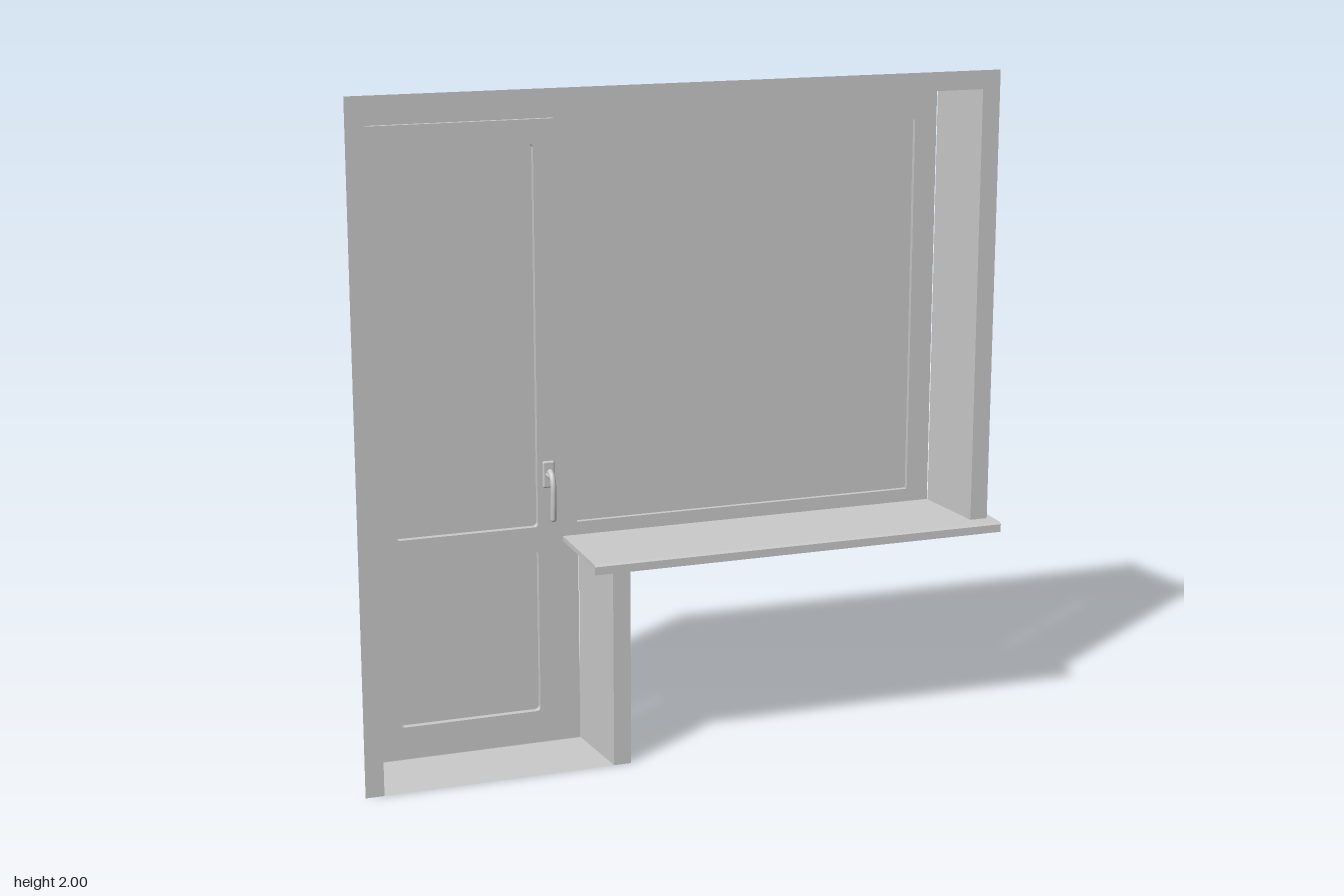
import * as THREE from 'three';
import { RoundedBoxGeometry } from 'three/addons/geometries/RoundedBoxGeometry.js';

const solid = new THREE.MeshStandardMaterial({ color: 0xcccccc });
const sheet = new THREE.MeshStandardMaterial({ color: 0xcccccc, side: THREE.DoubleSide });

function add(parent, name, geometry, material = solid) {
  const mesh = new THREE.Mesh(geometry, material);
  mesh.name = name;
  parent.add(mesh);
  return mesh;
}

function box(parent, name, [x0, x1], [y0, y1], [z0, z1]) {
  const g = new THREE.BoxGeometry(x1 - x0, y1 - y0, z1 - z0);
  g.translate((x0 + x1) / 2, (y0 + y1) / 2, (z0 + z1) / 2);
  return add(parent, name, g);
}

const polygon = (pts) => new THREE.Shape(pts.map(([x, y]) => new THREE.Vector2(x, y)));

// Rectangle with slightly rounded corners
function rect([x0, x1], [y0, y1], r = 0) {
  if (!r) return polygon([[x0, y0], [x1, y0], [x1, y1], [x0, y1]]);
  const s = new THREE.Shape();
  s.absarc(x1 - r, y0 + r, r, -Math.PI / 2, 0);
  s.absarc(x1 - r, y1 - r, r, 0, Math.PI / 2);
  s.absarc(x0 + r, y1 - r, r, Math.PI / 2, Math.PI);
  s.absarc(x0 + r, y0 + r, r, Math.PI, Math.PI * 1.5);
  s.closePath();
  return s;
}

function plate(parent, name, shape, holes, z0, z1) {
  shape.holes.push(...holes);
  const g = new THREE.ExtrudeGeometry(shape, { depth: z1 - z0, bevelEnabled: false, curveSegments: 4 });
  g.translate(0, 0, z0);
  return add(parent, name, g);
}

// Flat-faced strip joining two polylines point by point
function strip(parent, name, a, b) {
  const pos = [];
  for (let i = 0; i < a.length - 1; i++) {
    pos.push(...a[i], ...b[i], ...b[i + 1], ...a[i], ...b[i + 1], ...a[i + 1]);
  }
  const g = new THREE.BufferGeometry();
  g.setAttribute('position', new THREE.Float32BufferAttribute(pos, 3));
  g.computeVertexNormals();
  return add(parent, name, g, sheet);
}

export function createModel() {
  const root = new THREE.Group();
  root.name = 'balconyDoorAndWindow';
  const zFront = 0.13, zReveal = -0.12, zBack = -0.185;
  const atZ = (pts, z) => pts.map(([x, y]) => [x, y, z]);

  // Thin trim around the opening
  const trim = new THREE.Group();
  trim.name = 'trim';
  root.add(trim);
  const trimOutline = [[-0.985, 0], [-0.93, 0], [-0.93, 1.945], [0.905, 1.945],
    [0.905, 0.63], [0.96, 0.63], [0.96, 2], [-0.985, 2]];
  for (const s of [polygon(trimOutline), rect([-0.238, -0.185], [0, 0.625])]) {
    add(trim, 'trimFace', new THREE.ShapeGeometry(s), sheet).position.z = zFront;
  }

  // Splayed reveals and threshold floor
  const reveals = new THREE.Group();
  reveals.name = 'reveals';
  root.add(reveals);
  strip(reveals, 'outerReveal',
    atZ([[-0.93, 0], [-0.93, 1.945], [0.905, 1.945], [0.905, 0.63]], zFront),
    atZ([[-0.905, 0], [-0.905, 1.92], [0.88, 1.92], [0.88, 0.63]], zReveal));
  strip(reveals, 'doorReveal',
    atZ([[-0.238, 0], [-0.238, 0.625]], zFront),
    atZ([[-0.262, 0], [-0.262, 0.625]], zReveal));
  strip(reveals, 'thresholdFloor',
    atZ([[-0.93, 0], [-0.238, 0]], zFront),
    atZ([[-0.905, 0], [-0.262, 0]], zReveal));

  // Fixed frame around door and window
  const frameOutline = [[-0.905, 0], [-0.262, 0], [-0.262, 0.625], [0.88, 0.625], [0.88, 1.92], [-0.905, 1.92]];
  const windowX = [-0.265, 0.81], windowY = [0.68, 1.83];
  plate(root, 'frame', polygon(frameOutline),
    [rect([-0.866, -0.345], [0.06, 1.865]), rect(windowX, windowY)], zBack, -0.125);
  box(root, 'windowPane', windowX, windowY, [-0.17, -0.14]);

  // Door leaf: body inside the frame, overlapping lip in front
  const door = new THREE.Group();
  door.name = 'door';
  root.add(door);
  const paneX = [-0.82, -0.39];
  const paneYs = [[0.105, 0.61], [0.68, 1.815]];
  const paneHoles = () => paneYs.map((y) => rect(paneX, y, 0.012));
  plate(door, 'leafBody', rect([-0.866, -0.345], [0.06, 1.865]), paneHoles(), -0.172, -0.125);
  plate(door, 'leafLip', rect([-0.885, -0.322], [0.04, 1.885], 0.006), paneHoles(), -0.125, -0.11);
  paneYs.forEach((y, i) => box(door, i ? 'upperPane' : 'lowerPanel', paneX, y, [-0.158, -0.13]));
  box(door, 'railBar', [-0.866, -0.345], [0.632, 0.658], [-0.18, -0.17]);

  // Hinges
  for (const y of [0.055, 1.865]) {
    const hinge = add(door, 'hinge', new THREE.CylinderGeometry(0.006, 0.006, 0.025, 12));
    hinge.position.set(-0.89, y, -0.115);
  }

  // Handle
  const handle = new THREE.Group();
  handle.name = 'handle';
  handle.position.set(-0.358, 0.84, -0.11);
  door.add(handle);
  add(handle, 'handlePlate', new RoundedBoxGeometry(0.036, 0.08, 0.014, 2, 0.005)).position.z = 0.005;
  const neck = add(handle, 'handleNeck', new THREE.CylinderGeometry(0.011, 0.011, 0.03, 16));
  neck.rotation.x = Math.PI / 2;
  neck.position.z = 0.025;
  const path = new THREE.CatmullRomCurve3([[0.012, 0.02], [0.005, 0.04], [-0.02, 0.052], [-0.07, 0.054], [-0.125, 0.05]]
    .map(([y, z]) => new THREE.Vector3(0, y, z)));
  add(handle, 'handleLever', new THREE.TubeGeometry(path, 20, 0.009, 12));
  const tip = add(handle, 'handleTip', new THREE.SphereGeometry(0.009, 12, 8));
  tip.position.set(0, -0.125, 0.05);

  // Window sill with a turned-down nose
  const sillShape = polygon([[-0.13, 0.625], [0.172, 0.625], [0.172, 0.61], [0.185, 0.61],
    [0.185, 0.634], [0.179, 0.64], [-0.13, 0.64]]);
  const sill = new THREE.ExtrudeGeometry(sillShape, { depth: 1.29, bevelEnabled: false });
  sill.rotateY(-Math.PI / 2).translate(0.98, 0, 0);
  add(root, 'windowSill', sill);

  return root;
}
